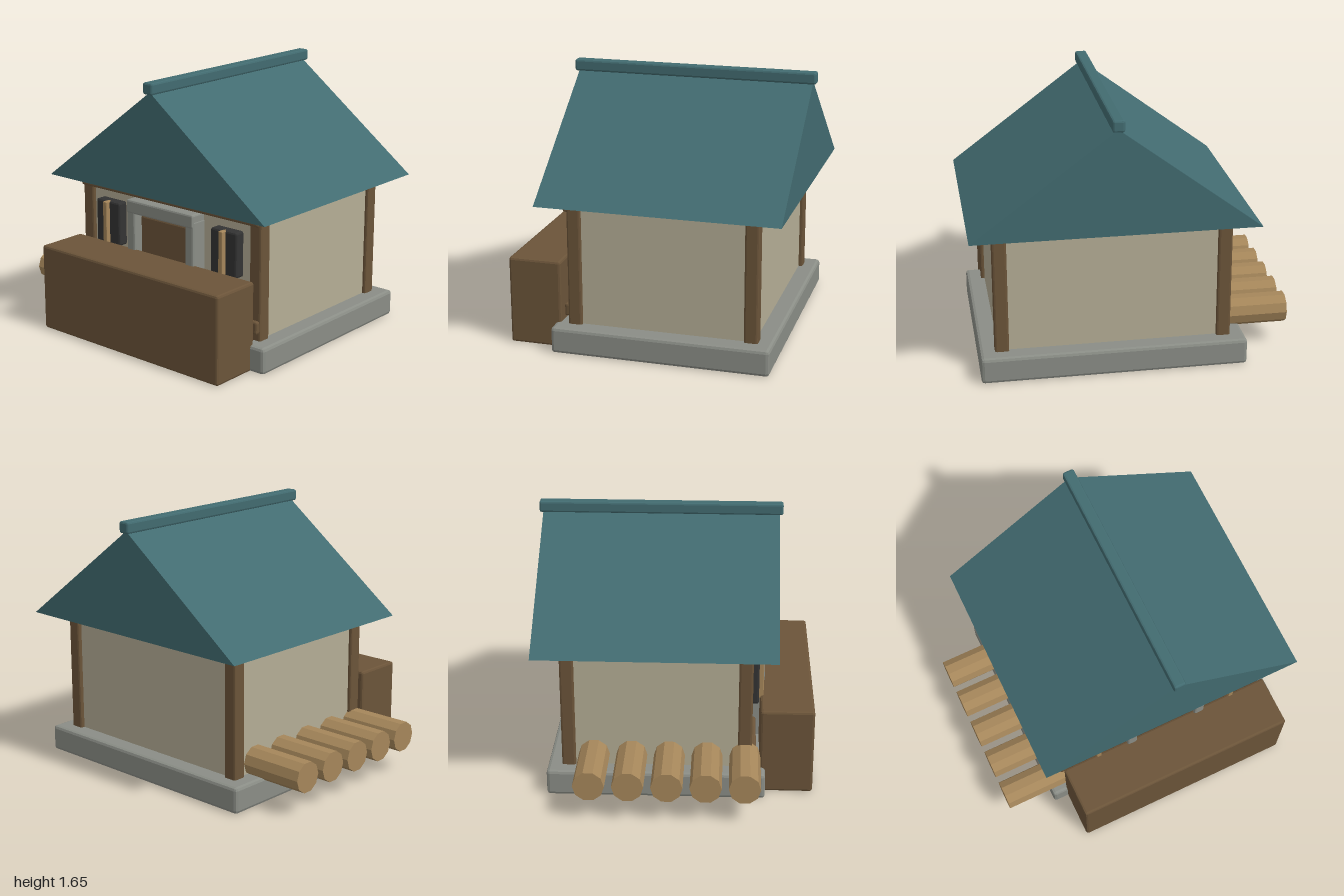
import * as THREE from 'three';
import { RoundedBoxGeometry } from 'three/addons/geometries/RoundedBoxGeometry.js';

function makeMaterial(name, color) {
  const m = new THREE.MeshStandardMaterial({ color });
  m.name = name;
  return m;
}

export function createModel() {
  const house = new THREE.Group();
  house.name = 'house';

  const teal = makeMaterial('roofTeal', 0x426b70);
  const brown = makeMaterial('darkWood', 0x6b5439);
  const tan = makeMaterial('lightWood', 0xa5865a);
  const stone = makeMaterial('stone', 0x8a8d86);
  const plaster = makeMaterial('plaster', 0xb4ad95);
  const glass = makeMaterial('darkGlass', 0x333333);

  function add(name, geometry, material) {
    const mesh = new THREE.Mesh(geometry, material);
    mesh.name = name;
    house.add(mesh);
    return mesh;
  }

  // Box given by its extents, with chamfered edges when bevel > 0
  function block(name, material, [x0, x1], [y0, y1], [z0, z1], bevel = 0.012) {
    const size = [x1 - x0, y1 - y0, z1 - z0];
    const geometry = bevel > 0
      ? new RoundedBoxGeometry(...size, 1, bevel)
      : new THREE.BoxGeometry(...size);
    geometry.computeVertexNormals();
    geometry.translate((x0 + x1) / 2, (y0 + y1) / 2, (z0 + z1) / 2);
    return add(name, geometry, material);
  }

  const cx = 0.12; // middle line of the house

  // Foundation and walls
  block('foundation', stone, [-0.7, 0.94], [0, 0.165], [-0.78, 0.57], 0.02);
  block('walls', plaster, [-0.585, 0.825], [0.16, 0.945], [-0.665, 0.462], 0);

  // Corner posts
  for (const side of [-1, 1]) {
    const x = cx + side * 0.685;
    for (const z of [-0.648, 0.443]) {
      block('cornerPost', brown, [x - 0.043, x + 0.043], [0.15, 0.945], [z - 0.043, z + 0.043]);
    }
  }

  // Horizontal beams on the front
  block('upperBeam', brown, [-0.6, 0.84], [0.872, 0.95], [0.45, 0.512]);
  block('lowerBeam', brown, [-0.6, 0.84], [0.21, 0.29], [0.45, 0.512]);

  // Door with stone frame
  block('door', brown, [-0.075, 0.315], [0.16, 0.772], [0.45, 0.52]);
  for (const side of [-1, 1]) {
    const x = cx + side * 0.24;
    block('doorJamb', stone, [x - 0.034, x + 0.034], [0.15, 0.83], [0.45, 0.565]);
  }
  block('doorLintel', stone, [-0.152, 0.392], [0.785, 0.872], [0.45, 0.57]);

  // Windows with a central bar
  for (const side of [-1, 1]) {
    const x = cx + side * 0.475;
    block('windowPane', glass, [x - 0.1, x + 0.1], [0.53, 0.812], [0.45, 0.525]);
    block('windowBar', tan, [x - 0.016, x + 0.016], [0.53, 0.812], [0.5, 0.555], 0.005);
  }

  // Wooden porch block
  block('porch', brown, [-0.6, 0.84], [0, 0.552], [0.535, 0.867], 0.015);

  // Solid gable roof and ridge beam
  const gable = new THREE.Shape([
    new THREE.Vector2(cx - 0.87, 0.94),
    new THREE.Vector2(cx + 0.87, 0.94),
    new THREE.Vector2(cx, 1.59),
  ]);
  const roof = new THREE.ExtrudeGeometry(gable, { depth: 1.485, bevelEnabled: false });
  roof.translate(0, 0, -0.848);
  add('roof', roof, teal);
  block('ridgeBeam', teal, [cx - 0.037, cx + 0.037], [1.578, 1.65], [-0.87, 0.66]);

  // Row of ten-sided logs stacked against the side wall
  for (let i = 0; i < 5; i++) {
    const log = new THREE.CylinderGeometry(0.096, 0.096, 0.43, 10).toNonIndexed();
    log.computeVertexNormals();
    log.rotateZ(Math.PI / 2);
    // Turn so that two corners point along z
    log.translate(-0.785, 0.235, -0.49 + i * 0.2335);
    add('log', log, tan);
  }

  return house;
}
